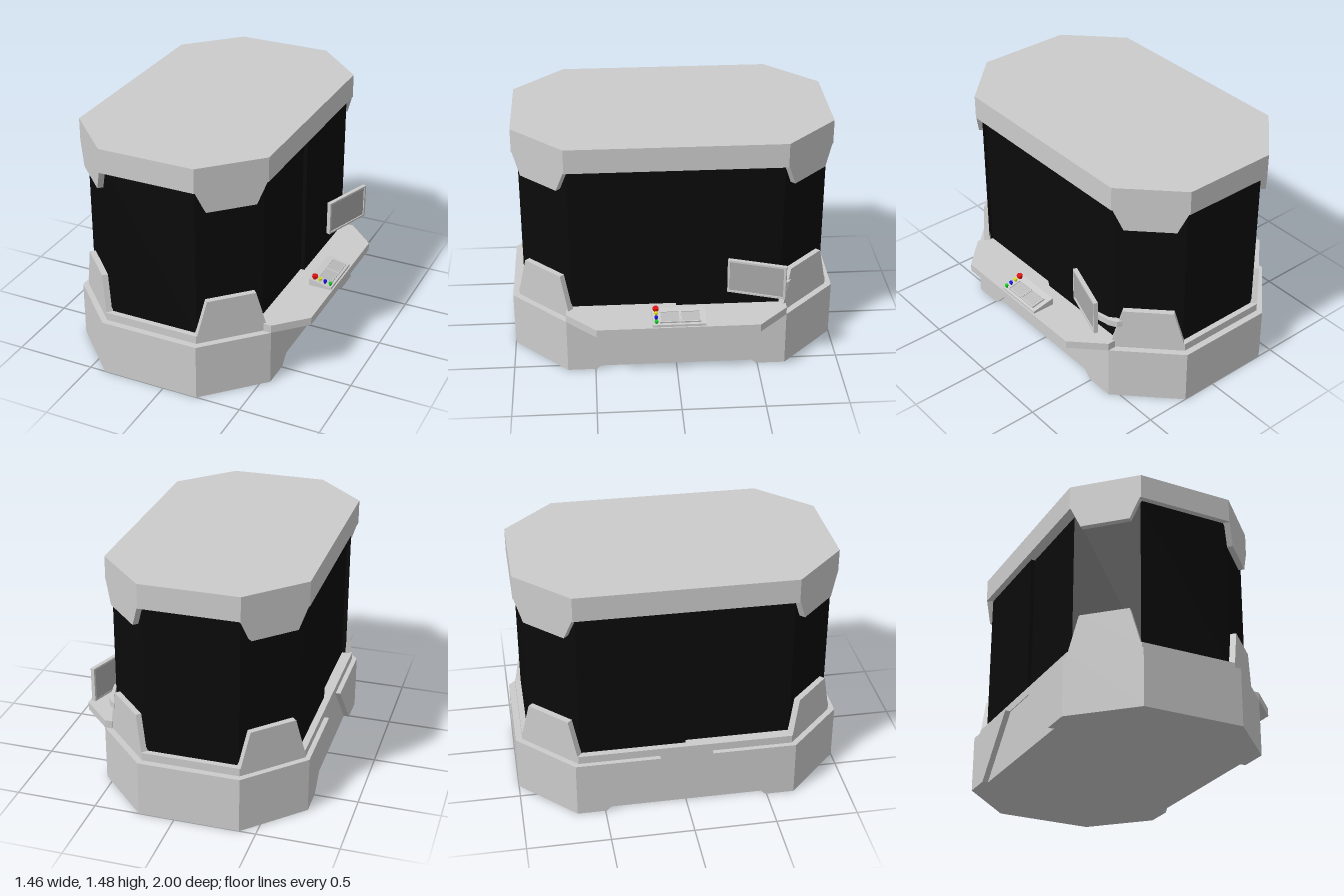
import * as THREE from 'three';

const GREY = 0xcccccc;

function mesh(name, geometry, color = GREY) {
  const m = new THREE.Mesh(geometry, new THREE.MeshStandardMaterial({ color, flatShading: true }));
  m.name = name;
  return m;
}

const shapeOf = (pts) => new THREE.Shape(pts.map(([x, y]) => new THREE.Vector2(x, y)));
const extrude = (pts, depth) =>
  new THREE.ExtrudeGeometry(shapeOf(pts), { depth, bevelEnabled: false });

// Upright prism from a plan outline of [x, z] points
function prism(plan, y0, y1) {
  const g = extrude(plan.map(([x, z]) => [x, -z]), y1 - y0);
  return g.rotateX(-Math.PI / 2).translate(0, y0, 0);
}

// Octagonal plan: outer x limits, where the end faces stop, and the z limits
const octagon = (xl, xr, el, er, zSide, zEnd) => [
  [xl, -zSide], [el, -zEnd], [er, -zEnd], [xr, -zSide],
  [xr, zSide], [er, zEnd], [el, zEnd], [xl, zSide],
];

// Side cheek of the base, mitred so that it runs on into the corner face
function cheek(side, end) {
  const d = 0.035;
  const pts = [[0.16, 0.35], [0.49, 0], [0.67, 0], [0.67, 0.35]];
  const g = extrude(pts.map(([z, y]) => [z * end, y]), d);
  const p = g.attributes.position;
  for (let i = 0; i < p.count; i++) {
    if (p.getZ(i) < d / 2 && Math.abs(p.getX(i)) > 0.6) p.setX(i, end * (0.67 + d));
  }
  g.rotateY(side * Math.PI / 2).translate(side > 0 ? 0.515 : -0.695, 0, 0);
  g.computeVertexNormals();
  return g;
}

function createConsole() {
  const g = new THREE.Group();
  g.name = 'controlConsole';
  const body = extrude([[0.575, 0.4], [0.72, 0.4], [0.72, 0.415], [0.575, 0.445]], 0.32);
  g.add(mesh('consoleBody', body.translate(0, 0, -0.165)));

  // Everything on the sloping face; local x runs down the slope
  const face = new THREE.Group();
  face.name = 'consoleFace';
  face.position.set(0.6475, 0.43, 0);
  face.rotation.z = -Math.atan2(0.03, 0.145);
  for (const z of [-0.074, 0.05]) {
    const screen = mesh('consoleScreen', new THREE.BoxGeometry(0.088, 0.006, 0.118), 0xbbbbbb);
    screen.position.set(0.013, 0.003, z);
    face.add(screen);
    for (const s of [-1, 1]) {
      const long = mesh('screenFrame', new THREE.BoxGeometry(0.006, 0.01, 0.118));
      long.position.set(0.013 + s * 0.043, 0.005, z);
      const short = mesh('screenFrame', new THREE.BoxGeometry(0.088, 0.01, 0.006));
      short.position.set(0.013, 0.005, z + s * 0.058);
      face.add(long, short);
    }
  }
  const buttons = [[-0.047, 0.018, 0xdd1111], [-0.012, 0.011, 0xdddd11],
    [0.023, 0.011, 0x1111dd], [0.058, 0.011, 0x11cc22]];
  for (const [x, r, color] of buttons) {
    const stem = mesh('buttonStem', new THREE.CylinderGeometry(r * 0.6, r * 0.6, 0.012, 12), color);
    stem.position.set(x, 0.006, 0.132);
    const cap = mesh('buttonCap', new THREE.CylinderGeometry(r, r, r * 0.9, 12), color);
    cap.position.set(x, 0.012 + r * 0.45, 0.132);
    face.add(stem, cap);
  }
  g.add(face);
  return g;
}

function createMonitor() {
  const g = new THREE.Group();
  g.name = 'monitor';
  const w = 0.355, h = 0.22;
  // Picture frame with the screen set back inside it
  const outline = shapeOf([[-w / 2, -h / 2], [w / 2, -h / 2], [w / 2, h / 2], [-w / 2, h / 2]]);
  const a = w / 2 - 0.014, b = h / 2 - 0.012;
  outline.holes.push(new THREE.Path([[-a, -b], [-a, b], [a, b], [a, -b]].map((p) => new THREE.Vector2(...p))));
  const frame = new THREE.ExtrudeGeometry(outline, { depth: 0.026, bevelEnabled: false });
  g.add(mesh('monitorFrame', frame.translate(0, 0, -0.013)));
  const screen = mesh('monitorScreen', new THREE.BoxGeometry(2 * a, 2 * b, 0.018), 0xaaaaaa);
  screen.position.z = -0.003;
  g.add(screen);
  g.position.set(0.569, 0.62, -0.478);
  g.rotation.y = Math.atan2(0.34, 0.115);
  return g;
}

// Bent arm from the rear corner to the back of the monitor
function createArm() {
  const arm = extrude([[0.47, 0.7], [0.5, 0.685], [0.525, 0.64], [0.555, 0.48],
    [0.54, 0.46], [0.505, 0.62], [0.47, 0.66]], 0.04);
  return mesh('monitorArm', arm.rotateX(-Math.PI / 2).translate(0, 0.51, 0));
}

export function createModel() {
  const model = new THREE.Group();
  model.name = 'octagonalBooth';

  // Plinth with recessed sides
  const d = 0.035;
  model.add(mesh('basePlinth', prism(octagon(-0.73 + d, 0.55 - d, -0.4, 0.22, 0.67 + d, 1), 0, 0.35)));
  for (const side of [-1, 1]) {
    for (const end of [-1, 1]) model.add(mesh('baseCheek', cheek(side, end)));
  }

  // Sill and roof share one outline
  const rim = octagon(-0.7, 0.515, -0.39, 0.205, 0.65, 0.96);
  model.add(mesh('sill', prism(rim, 0.35, 0.4)));
  model.add(mesh('roof', prism(rim, 1.33, 1.48)));

  // Dark walls, with the front half of each side set in like a sliding pane
  const walls = [
    [-0.66, -0.635], [-0.375, -0.925], [0.19, -0.925], [0.48, -0.635],
    [0.48, 0], [0.455, 0], [0.455, 0.635], [0.48, 0.635],
    [0.19, 0.925], [-0.375, 0.925], [-0.66, 0.635],
    [-0.635, 0.635], [-0.635, 0], [-0.66, 0],
  ];
  model.add(mesh('darkWalls', prism(walls, 0.4, 1.33), 0x0a0a0a));

  // Tapered corner guards, low and high on each chamfer
  const low = [[-0.217, 0.35], [0.217, 0.35], [0.217, 0.385], [0.15, 0.62], [-0.15, 0.62], [-0.217, 0.385]];
  const high = [[-0.217, 1.34], [-0.15, 1.2], [0.15, 1.2], [0.217, 1.34]];
  for (const [x, sx] of [[0.36, 1], [-0.545, -1]]) {
    for (const sz of [-1, 1]) {
      for (const [name, pts] of [['lowerCornerGuard', low], ['upperCornerGuard', high]]) {
        const guard = mesh(name, extrude(pts, 0.04).translate(0, 0, -0.04));
        guard.position.set(x, 0, sz * 0.805);
        guard.rotation.y = Math.atan2(sx, sz);
        model.add(guard);
      }
    }
  }

  // Desk shelf on the left side
  const desk = [[0.5, -0.67], [0.55, -0.67], [0.73, -0.49], [0.73, 0.49], [0.55, 0.67], [0.5, 0.67]];
  model.add(mesh('desk', prism(desk, 0.35, 0.4)));

  model.add(createConsole(), createMonitor(), createArm());
  return model;
}
